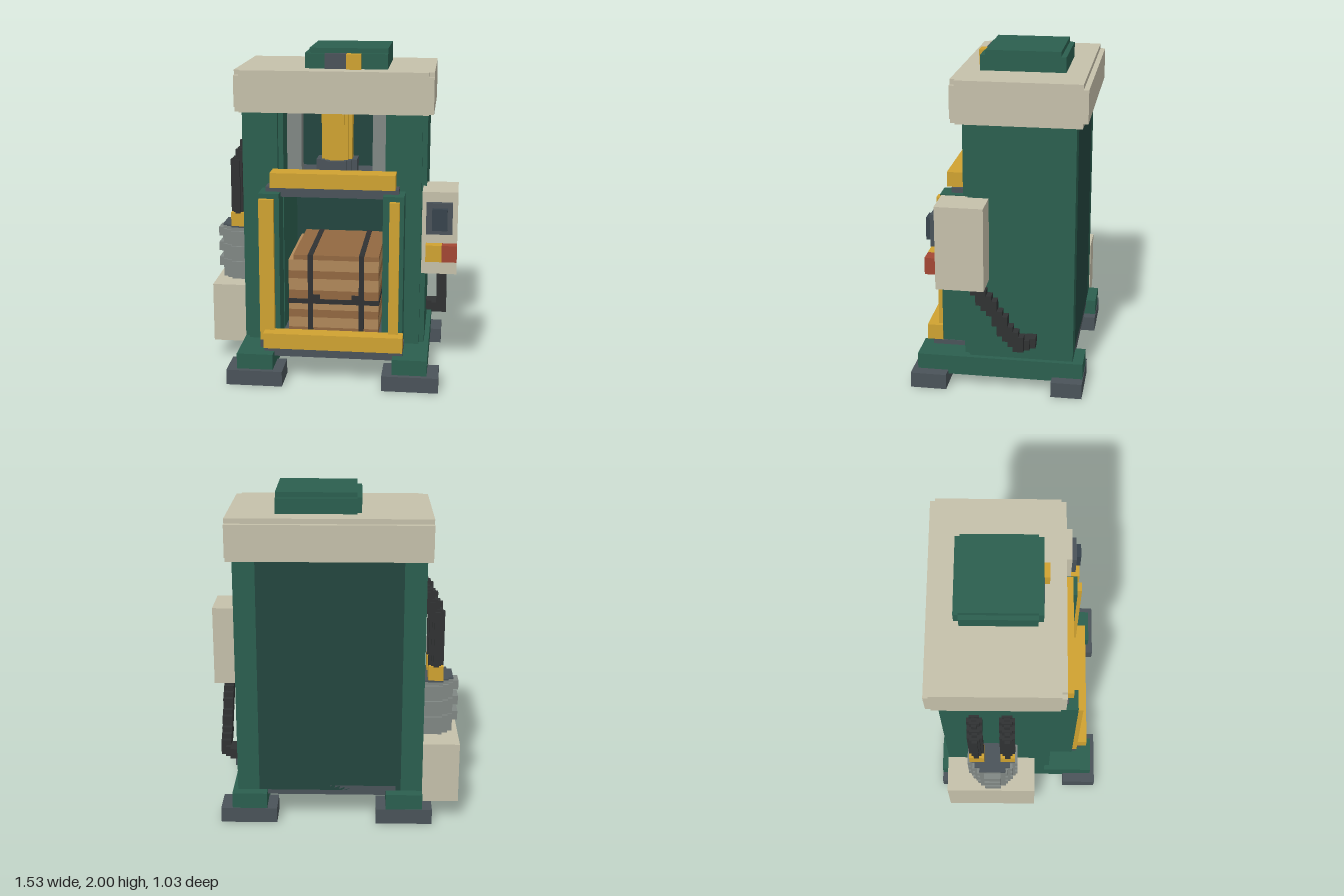
import * as THREE from 'three';

const mats = {};
const mat = (c) => (mats[c] ??= new THREE.MeshStandardMaterial({ color: c, flatShading: true }));
const GREEN = 0x2b5f4f, DARK = 0x23463f, CREAM = 0xc5c0aa, YELLOW = 0xcfa231, SLATE = 0x4a5359,
  GREY = 0x808784, BLACK = 0x303233, RED = 0xa34734, STRAW = 0xb0885a, BROWN = 0x926841;

export function createModel() {
  const root = new THREE.Group();

  // box from its extents along each axis
  function box(name, color, x0, x1, y0, y1, z0, z1, parent = root) {
    const m = new THREE.Mesh(new THREE.BoxGeometry(x1 - x0, y1 - y0, z1 - z0), mat(color));
    m.position.set((x0 + x1) / 2, (y0 + y1) / 2, (z0 + z1) / 2);
    m.name = name;
    parent.add(m);
    return m;
  }
  function group(name) {
    const g = new THREE.Group();
    g.name = name;
    root.add(g);
    return g;
  }
  // stepped disc: an extruded blocky circle given by corner steps of one quadrant
  function steppedDisc(name, color, steps, cx, cz, y0, y1, parent) {
    const quad = [];
    steps.forEach(([a, b], i) => {
      if (i) quad.push([a, steps[i - 1][1]]);
      quad.push([a, b]);
    });
    const rev = [...quad].reverse();
    const pts = [
      ...quad, ...rev.map(([a, b]) => [-a, b]),
      ...quad.map(([a, b]) => [-a, -b]), ...rev.map(([a, b]) => [a, -b]),
    ].map(([a, b]) => new THREE.Vector2(a, b));
    const geo = new THREE.ExtrudeGeometry(new THREE.Shape(pts), { depth: y1 - y0, bevelEnabled: false });
    geo.rotateX(-Math.PI / 2);
    const m = new THREE.Mesh(geo, mat(color));
    m.position.set(cx, y0, cz);
    m.name = name;
    parent.add(m);
  }
  // cable of small blocks following a path, snapped to a grid
  function blockCable(name, path, count, size) {
    const g = group(name), u = 0.0313, seen = new Set();
    const curve = new THREE.CatmullRomCurve3(path.map((p) => new THREE.Vector3(...p)), false, 'centripetal');
    for (let i = 0; i <= count; i++) {
      const p = curve.getPointAt(i / count);
      const q = p.toArray().map((v, k) => path[0][k] + Math.round((v - path[0][k]) / u) * u);
      if (seen.has(q.join())) continue;
      seen.add(q.join());
      size.forEach(([a, b, c]) =>
        box('cableBlock', BLACK, q[0] - a, q[0] + a, q[1] - b, q[1] + b, q[2] - c, q[2] + c, g));
    }
  }

  // feet, skids, side columns and guide posts, mirrored about x = c
  const c = 0.01;
  for (const s of [-1, 1]) {
    const mbox = (name, color, a, b, ...r) => {
      const o = s > 0 ? 0.02 : 0;
      return s > 0 ? box(name, color, a + o, b + o, ...r) : box(name, color, -b, -a, ...r);
    };
    const f = s > 0 ? 0.04 : 0;
    mbox('frontFoot', SLATE, 0.27 + f, 0.61 + f, 0, 0.094, 0.3, 0.515);
    mbox('rearFoot', SLATE, 0.27 + f, 0.61 + f, 0, 0.094, -0.515, -0.33);
    mbox('skid', GREEN, 0.33 + f, 0.55 + f * 0.75, 0.07, 0.19, -0.512, 0.485);
    mbox('columnOuter', GREEN, 0.42, 0.55, 0.19, 1.63, -0.45, 0.172);
    mbox('columnInner', GREEN, 0.3, 0.42, 0.19, 1.63, -0.39, 0.172);
    mbox('columnFace', GREEN, 0.33, 0.52, 0.19, 1.63, 0.172, 0.205);
    mbox('guidePost', GREEN, 0.3, 0.425, 0.19, 1.16, 0.205, 0.36);
    mbox('gateRail', YELLOW, s > 0 ? 0.34 : 0.33, s > 0 ? 0.4 : 0.42, 0.25, 1.13, 0.36, 0.39);
    mbox('guideRod', GREY, 0.21, 0.3, 1.19, 1.6, -0.075, 0.015);
  }
  box('backPanel', DARK, -0.42, 0.44, 0.19, 1.63, -0.45, -0.39);

  // floor and lower beam
  box('floorPlate', SLATE, -0.39, 0.45, 0.16, 0.22, -0.45, 0.42);
  box('chamberFloor', SLATE, -0.42, 0.44, 0.2, 0.25, -0.39, 0.385);
  box('lowerBeam', YELLOW, -0.39, 0.45, 0.22, 0.315, 0.36, 0.455);

  // pressing platen with beam and ram
  box('platen', SLATE, -0.299, 0.319, 1.13, 1.19, -0.36, 0.205);
  box('platenLip', SLATE, -0.39, 0.41, 1.13, 1.19, 0.205, 0.3);
  box('upperBeam', YELLOW, -0.36, 0.39, 1.19, 1.28, 0.205, 0.33);
  const ram = group('ram');
  const steps = (r) => [[r, r * 0.5], [r * 0.75, r * 0.75], [r * 0.5, r]];
  steppedDisc('ramCollar', SLATE, steps(0.125), c, -0.03, 1.19, 1.31, ram);
  steppedDisc('ramCylinder', YELLOW, steps(0.094), c, -0.03, 1.31, 1.63, ram);

  // top housing with notched front corners and a stepped back edge
  const cap = group('topHousing');
  box('housingBody', CREAM, -0.58, 0.605, 1.63, 1.88, -0.485, 0.235, cap);
  box('housingBack', CREAM, -0.58, 0.605, 1.66, 1.85, -0.515, -0.485, cap);
  box('housingFront', CREAM, -0.55, 0.575, 1.63, 1.88, 0.235, 0.265, cap);
  box('housingFrontLeft', CREAM, 0.575, 0.605, 1.66, 1.85, 0.235, 0.265, cap);
  box('housingFrontRight', CREAM, -0.58, -0.55, 1.66, 1.85, 0.235, 0.265, cap);

  // roof hatch
  const hatch = group('roofHatch');
  box('hatchBase', GREEN, -0.145, 0.325, 1.88, 1.97, -0.36, 0.137, hatch);
  box('hatchSide', GREEN, -0.173, -0.145, 1.88, 1.97, -0.33, 0.107, hatch);
  box('hatchLid', GREEN, -0.145, 0.325, 1.97, 2, -0.33, 0.107, hatch);
  box('hatchVent', SLATE, -0.05, 0.08, 1.88, 1.97, 0.1, 0.14, hatch);
  box('hatchLatch', YELLOW, 0.08, 0.168, 1.88, 1.97, 0.1, 0.17, hatch);

  // control box with screen and buttons
  const control = group('controlBox');
  box('controlCase', CREAM, 0.55, 0.76, 0.69, 1.19, 0.05, 0.33, control);
  box('screenFrame', SLATE, 0.575, 0.73, 0.94, 1.13, 0.33, 0.36, control);
  box('screen', 0x37434c, 0.61, 0.7, 0.97, 1.1, 0.36, 0.39, control);
  box('startButton', YELLOW, 0.575, 0.67, 0.78, 0.88, 0.33, 0.39, control);
  box('stopButton', RED, 0.67, 0.76, 0.78, 0.88, 0.33, 0.39, control);
  blockCable('controlCable', [[0.67, 0.67, 0.11], [0.67, 0.6, 0.05], [0.67, 0.5, -0.02], [0.67, 0.36, -0.11],
    [0.64, 0.32, -0.16], [0.59, 0.315, -0.2]], 60, [[0.031, 0.031, 0.031]]);

  // hydraulic tank with finned motor, fittings and hoses
  const pump = group('powerUnit');
  box('tank', CREAM, -0.77, -0.55, 0.125, 0.5, -0.455, 0.105, pump);
  const mx = -0.61, mz = -0.16;
  const motor = [[0.125, 0.08], [0.095, 0.11], [0.06, 0.14]];
  steppedDisc('motorBody', GREY, motor, mx, mz, 0.5, 0.84, pump);
  steppedDisc('motorCap', SLATE, motor, mx, mz, 0.84, 0.85, pump);
  for (const y of [0.56, 0.66, 0.76])
    steppedDisc('motorFin', GREY, [[0.16, 0.05], [0.125, 0.095], [0.095, 0.125], [0.06, 0.155]], mx, mz, y, y + 0.058, pump);
  for (const z of [-0.255, -0.065]) {
    box('hoseFitting', YELLOW, -0.67, -0.58, 0.85, 0.94, z - 0.045, z + 0.045, pump);
    blockCable('hose', [[-0.625, 0.95, z], [-0.625, 1.1, z], [-0.625, 1.23, z], [-0.6, 1.3, z], [-0.56, 1.36, z],
      [-0.54, 1.41, z]], 50, [[0.046, 0.016, 0.016], [0.016, 0.016, 0.046], [0.03, 0.03, 0.03]]);
  }

  // layered bale
  const bale = group('bale');
  const layers = [0.25, 0.285, 0.35, 0.4, 0.47, 0.525, 0.6, 0.65, 0.72];
  for (let i = 0; i < layers.length - 1; i++)
    box('baleLayer', i % 2 ? STRAW : BROWN, -0.265, 0.29, layers[i], layers[i + 1], -0.36, 0.235, bale);
  box('baleTop', BROWN, -0.235, 0.29, 0.72, 0.75, -0.36, 0.235, bale);

  // straps around the bale
  for (const x of [-0.13, 0.185])
    box('baleStrap', BLACK, x - 0.016, x + 0.016, 0.25, 0.754, -0.364, 0.24, bale);
  box('crossStrap', BLACK, -0.269, 0.294, 0.44, 0.47, -0.364, 0.239, bale);
  for (const x of [-0.1, 0.155])
    box('strapBuckle', BLACK, x - 0.03, x + 0.03, 0.47, 0.5, 0.2, 0.239, bale);

  return root;
}
